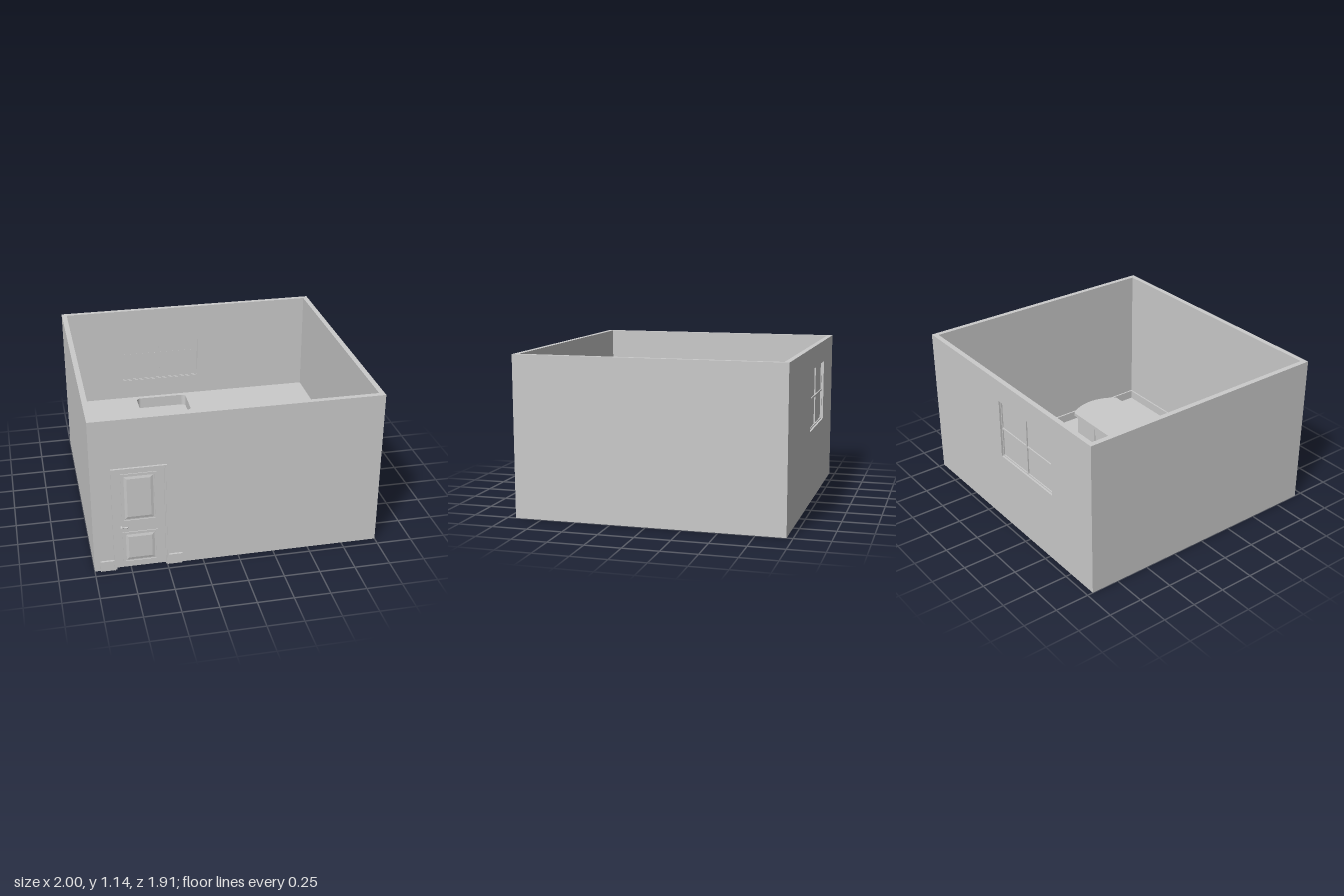
import * as THREE from 'three';

const grey = new THREE.MeshStandardMaterial({ color: 0xcccccc, flatShading: true, side: THREE.DoubleSide });

export function createModel() {
  const room = new THREE.Group();
  room.name = 'kitchenRoom';

  const add = (name, geo, parent = room) => {
    const mesh = new THREE.Mesh(geo, grey);
    mesh.name = name;
    parent.add(mesh);
    return mesh;
  };
  const group = (name) => {
    const g = new THREE.Group();
    g.name = name;
    room.add(g);
    return g;
  };
  // box given by its limits on each axis
  const box = (name, [x0, x1], [y0, y1], [z0, z1], parent) => add(name,
    new THREE.BoxGeometry(x1 - x0, y1 - y0, z1 - z0)
      .translate((x0 + x1) / 2, (y0 + y1) / 2, (z0 + z1) / 2), parent);
  // rectangle outline, optionally with round corners
  const rect = (P, x0, x1, y0, y1, r = 0) => {
    const p = new P();
    if (!r) return p.moveTo(x0, y0).lineTo(x1, y0).lineTo(x1, y1).lineTo(x0, y1).lineTo(x0, y0);
    p.absarc(x1 - r, y0 + r, r, -Math.PI / 2, 0);
    p.absarc(x1 - r, y1 - r, r, 0, Math.PI / 2);
    p.absarc(x0 + r, y1 - r, r, Math.PI / 2, Math.PI);
    p.absarc(x0 + r, y0 + r, r, Math.PI, Math.PI * 1.5);
    return p.closePath();
  };
  const extrude = (shape, depth) =>
    new THREE.ExtrudeGeometry(shape, { depth, bevelEnabled: false, curveSegments: 8 });
  // upright plate with one rectangular hole, between z0 and z1
  const plate = (name, outer, hole, [z0, z1], parent) => {
    const s = rect(THREE.Shape, ...outer);
    s.holes.push(rect(THREE.Path, ...hole));
    return add(name, extrude(s, z1 - z0).translate(0, 0, z0), parent);
  };
  // horizontal slab: shape y becomes z, thickness goes down from top
  const slab = (name, shape, top, thick, parent) =>
    add(name, extrude(shape, thick).rotateX(Math.PI / 2).translate(0, top, 0), parent);

  // Shell: floor and four walls
  const H = 1.14, IN = 0.963, ZB = -0.92, ZF = 0.902;
  const win = [-0.547, 0.083, 0.535, 0.98];
  const door = [-0.865, -0.49, 0, 0.785];
  box('floor', [-IN, IN], [0, 0.012], [ZB, ZF]);
  box('rightWall', [-1, -IN], [0, H], [ZB, ZF]);
  box('leftWall', [IN, 1], [0, H], [ZB, ZF]);
  plate('backWall', [-1, 1, 0, H], win, [-0.957, ZB]);
  const front = new THREE.Shape();
  front.moveTo(-1, 0).lineTo(door[0], 0).lineTo(door[0], door[3]).lineTo(door[1], door[3])
    .lineTo(door[1], 0).lineTo(1, 0).lineTo(1, H).lineTo(-1, H).closePath();
  add('frontWall', extrude(front, 0.94 - ZF).translate(0, 0, ZF));

  // Skirting boards inside, and short lengths outside beside the door
  const skirting = group('skirting');
  for (const s of [-1, 1]) {
    const xs = [s * IN, s * (IN - 0.013)].sort((a, b) => a - b);
    box('sideSkirting', xs, [0.012, 0.08], [-0.57, ZF], skirting);
  }
  for (const xs of [[-IN, door[0]], [door[1], IN]])
    box('frontSkirting', xs, [0.012, 0.08], [ZF - 0.012, ZF], skirting);
  for (const xs of [[-0.96, door[0]], [door[1], -0.395]]) {
    box('outerSkirting', xs, [0, 0.07], [0.94, 0.951], skirting);
    box('outerSkirtingCap', xs, [0.07, 0.078], [0.94, 0.955], skirting);
  }

  // Window: frame, glass and crossing glazing bars
  const window = group('window');
  const [wx0, wx1, wy0, wy1] = win;
  const wx = (wx0 + wx1) / 2, wy = (wy0 + wy1) / 2;
  plate('windowFrame', win, [wx0 + 0.008, wx1 - 0.008, wy0 + 0.008, wy1 - 0.008], [-0.943, -0.925], window);
  box('glass', [wx0, wx1], [wy0, wy1], [-0.934, -0.93], window);
  box('uprightBar', [wx - 0.006, wx + 0.006], [wy0, wy1], [-0.943, -0.929], window);
  box('crossBar', [wx0, wx1], [wy - 0.006, wy + 0.006], [-0.943, -0.929], window);

  // Door: stepped casing, leaf, moulded panels and lever handles
  const doorSet = group('door');
  const casing = (w, z0, z1) => {
    const [x0, x1, , y1] = door;
    const s = new THREE.Shape();
    s.moveTo(x0, 0).lineTo(x0 + w, 0).lineTo(x0 + w, y1 - w).lineTo(x1 - w, y1 - w)
      .lineTo(x1 - w, 0).lineTo(x1, 0).lineTo(x1, y1).lineTo(x0, y1).closePath();
    add('doorCasing', extrude(s, z1 - z0).translate(0, 0, z0), doorSet);
  };
  casing(0.008, ZF - 0.014, 0.955);
  casing(0.018, ZF - 0.006, 0.947);
  box('doorLeaf', [-0.85, -0.505], [0.006, 0.77], [0.91, 0.932], doorSet);
  for (const [y0, y1] of [[0.04, 0.285], [0.365, 0.735]]) {
    const [x0, x1] = [-0.8, -0.56];
    plate('panelMoulding', [x0, x1, y0, y1], [x0 + 0.014, x1 - 0.014, y0 + 0.014, y1 - 0.014],
      [0.904, 0.938], doorSet);
    const panel = new THREE.ExtrudeGeometry(
      rect(THREE.Shape, x0 + 0.04, x1 - 0.04, y0 + 0.04, y1 - 0.04),
      { depth: 0.022, bevelThickness: 0.005, bevelSize: 0.018, bevelSegments: 1 });
    add('raisedPanel', panel.translate(0, 0, 0.91), doorSet);
  }
  for (const [z, s] of [[0.932, 1], [0.91, -1]]) {
    const reach = s > 0 ? 0.016 : 0.03;
    add('handleStem', new THREE.CylinderGeometry(0.006, 0.006, reach, 12).rotateX(Math.PI / 2)
      .translate(-0.806, 0.33, z + s * reach / 2), doorSet);
    add('handleLever', new THREE.CapsuleGeometry(0.005, 0.045, 4, 10).rotateZ(Math.PI / 2)
      .translate(-0.785, 0.33, z + s * reach), doorSet);
  }

  // Worktop along the back wall with a sunken sink
  const counter = group('counter');
  const sink = [-0.44, -0.035, -0.885, -0.605, 0.035];
  const top = rect(THREE.Shape, -IN, IN, ZB, -0.55);
  top.holes.push(rect(THREE.Path, ...sink));
  slab('worktop', top, 0.38, 0.025, counter);
  const [sx0, sx1, sz0, sz1, sr] = sink;
  const basin = rect(THREE.Shape, sx0 - 0.004, sx1 + 0.004, sz0 - 0.004, sz1 + 0.004, sr + 0.004);
  basin.holes.push(rect(THREE.Path, ...sink));
  slab('sinkSides', basin, 0.379, 0.094, counter);
  slab('sinkBottom', rect(THREE.Shape, ...sink), 0.292, 0.006, counter);

  // Cupboard fronts below the worktop
  box('plinth', [-IN, IN], [0.012, 0.05], [-0.6, -0.59], counter);
  box('cupboardCarcass', [-IN, IN], [0.05, 0.355], [-0.585, -0.575], counter);
  const n = 8, w = 2 * IN / n;
  for (let i = 0; i < n; i++) {
    const x = -IN + i * w;
    box('cupboardDoor', [x + 0.004, x + w - 0.004], [0.055, 0.348], [-0.575, -0.565], counter);
    box('cupboardHandle', [x + w / 2 - 0.03, x + w / 2 + 0.03], [0.325, 0.332], [-0.565, -0.557], counter);
  }

  // Island: bow-ended worktop on a base, with an open oven facing the counter
  const island = group('island');
  const R = 0.3246, a = 0.693, cz = 0.1725;
  const bow = new THREE.Shape();
  bow.absarc(0.2504, cz, R, -a, a);
  bow.absarc(-0.2304, cz, R, Math.PI - a, Math.PI + a);
  bow.closePath();
  slab('islandTop', bow, 0.38, 0.025, island);
  box('islandBase', [-0.225, 0.48], [0.012, 0.355], [-0.015, 0.35], island);
  plate('ovenBody', [-0.46, -0.225, 0.012, 0.355], [-0.445, -0.24, 0.08, 0.3], [-0.015, 0.33], island);
  box('ovenBack', [-0.46, -0.225], [0.012, 0.355], [0.33, 0.35], island);
  box('ovenShelf', [-0.445, -0.24], [0.185, 0.189], [0, 0.33], island);
  box('ovenDoor', [-0.455, -0.23], [0.06, 0.078], [-0.2, -0.015], island);
  for (let i = 0; i < 3; i++) {
    const x = -0.22 + i * 0.233;
    box('islandDoor', [x, x + 0.225], [0.055, 0.348], [-0.024, -0.015], island);
  }
  return room;
}
